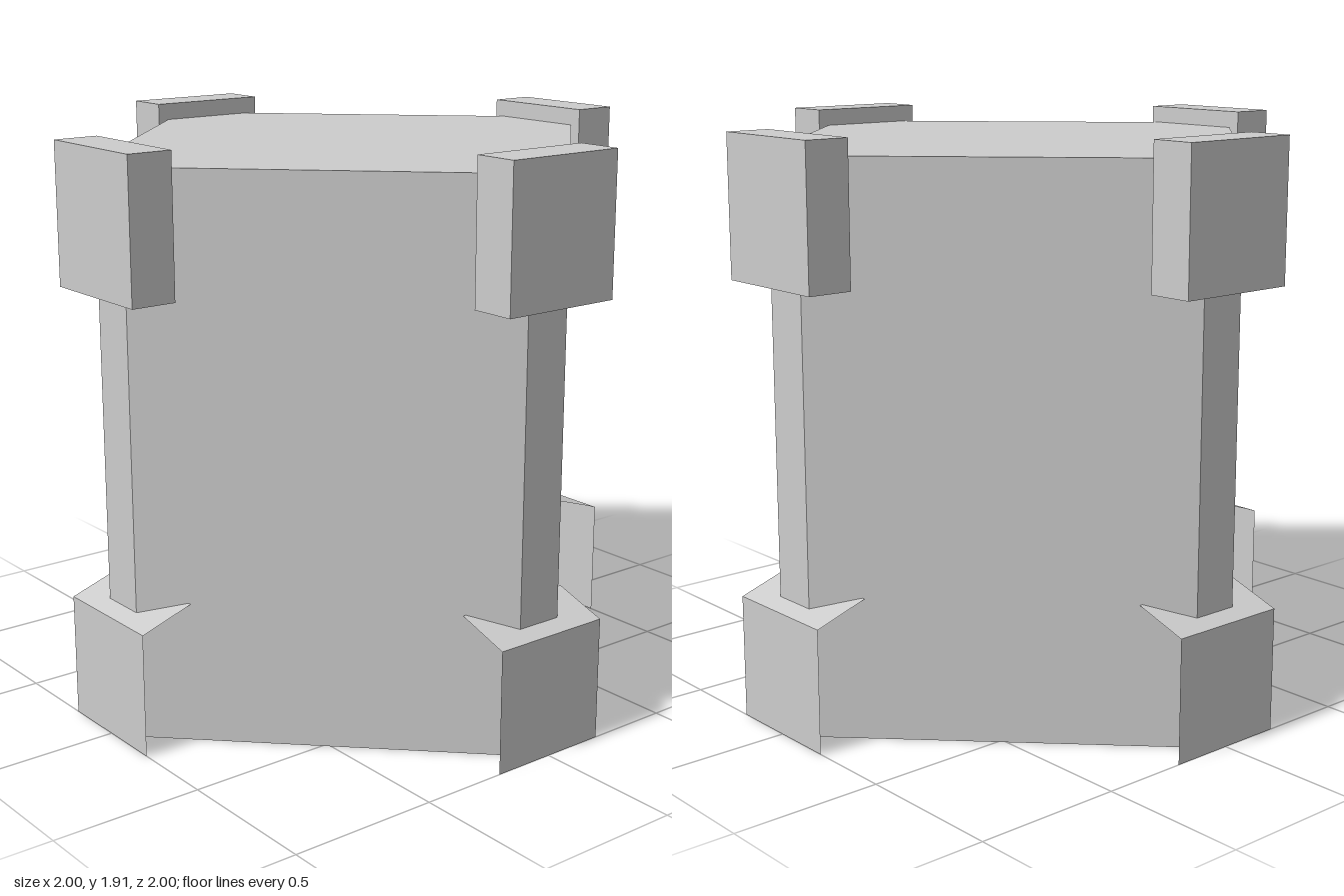
import * as THREE from 'three';

export function createModel() {
  const model = new THREE.Group();
  const gray = new THREE.MeshStandardMaterial({
    name: 'plainGray', color: 0xcccccc, flatShading: true, side: THREE.DoubleSide,
  });
  const add = (parent, name, geometry) => {
    const mesh = new THREE.Mesh(geometry, gray);
    mesh.name = name;
    parent.add(mesh);
    return mesh;
  };

  // Body outline: a square turned 45 degrees with narrow cut corners
  const R = 0.94, C = 0.08, H = 1.85;
  const outline = [[C, R], [R, C], [R, -C], [C, -R], [-C, -R], [-R, -C], [-R, C], [-C, R]];

  // Walls, open at the bottom
  const walls = [];
  outline.forEach(([ax, az], i) => {
    const [bx, bz] = outline[(i + 1) % outline.length];
    walls.push(ax, 0, az, bx, 0, bz, bx, H, bz, ax, 0, az, bx, H, bz, ax, H, az);
  });
  const wallGeometry = new THREE.BufferGeometry();
  wallGeometry.setAttribute('position', new THREE.Float32BufferAttribute(walls, 3));
  wallGeometry.computeVertexNormals();
  add(model, 'bodyWalls', wallGeometry);

  // Flat lid
  const lid = new THREE.ShapeGeometry(new THREE.Shape(outline.map(([x, z]) => new THREE.Vector2(x, z))));
  lid.rotateX(-Math.PI / 2);
  add(model, 'bodyTop', lid).position.y = H;

  // Each corner has a raised block above and a thin plate with a sloping ledge below
  const W = 0.424, footHeight = 0.41, ledgeDepth = 0.18, ledgeRise = 0.06;
  ['front', 'left', 'back', 'right'].forEach((side, i) => {
    const corner = new THREE.Group();
    corner.name = side + 'Corner';
    corner.rotation.y = i * Math.PI / 2;
    model.add(corner);

    add(corner, 'upperBlock', new THREE.BoxGeometry(W, 0.46, 0.152)).position.set(0, 1.677, 0.924);

    add(corner, 'footPlate', new THREE.PlaneGeometry(W, footHeight)).position.set(0, footHeight / 2, 1);

    const ledge = add(corner, 'footLedge', new THREE.PlaneGeometry(W, Math.hypot(ledgeDepth, ledgeRise)));
    ledge.position.set(0, footHeight + ledgeRise / 2, 1 - ledgeDepth / 2);
    ledge.rotation.x = -Math.PI / 2 + Math.atan2(ledgeRise, ledgeDepth);
  });

  return model;
}
